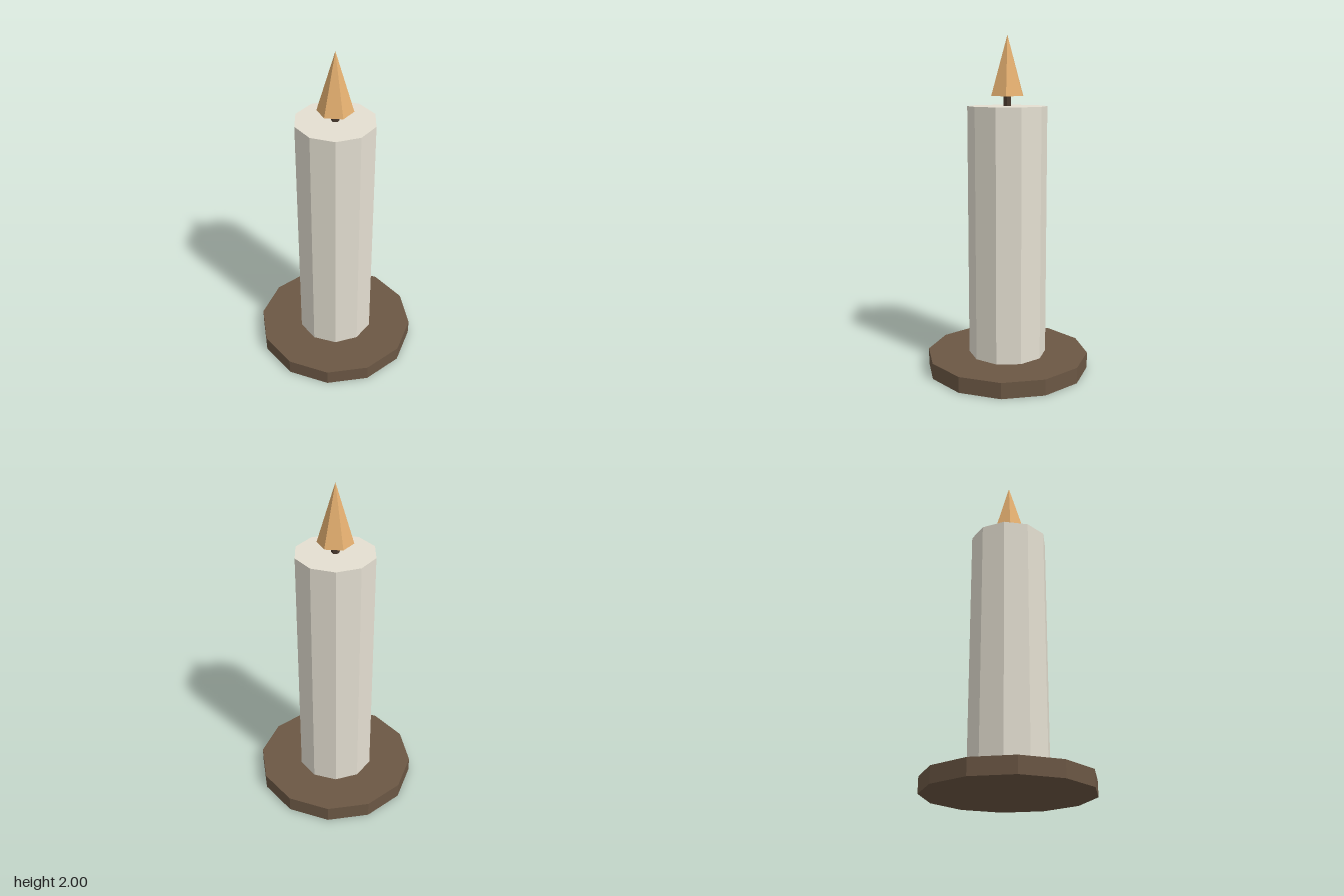
import * as THREE from 'three';

const material = (name, color) => {
  const m = new THREE.MeshStandardMaterial({ color, flatShading: true });
  m.name = name;
  return m;
};

export function createModel() {
  const group = new THREE.Group();
  group.name = 'candle';

  // Faceted upright part between two heights
  const addPart = (name, topRadius, bottomRadius, y0, y1, sides, mat) => {
    const geometry = new THREE.CylinderGeometry(topRadius, bottomRadius, y1 - y0, sides);
    const mesh = new THREE.Mesh(geometry, mat);
    mesh.name = name;
    mesh.position.y = (y0 + y1) / 2;
    group.add(mesh);
  };

  addPart('basePlate', 0.49, 0.49, 0, 0.095, 12, material('brown wood', 0x6b5744));
  addPart('waxBody', 0.234, 0.234, 0.095, 1.595, 10, material('cream wax', 0xe4dfd1));
  addPart('wick', 0.024, 0.024, 1.595, 1.67, 6, material('dark wick', 0x4a3a2e));
  addPart('flame', 0, 0.104, 1.653, 2, 6, material('amber flame', 0xe4af70));

  return group;
}
